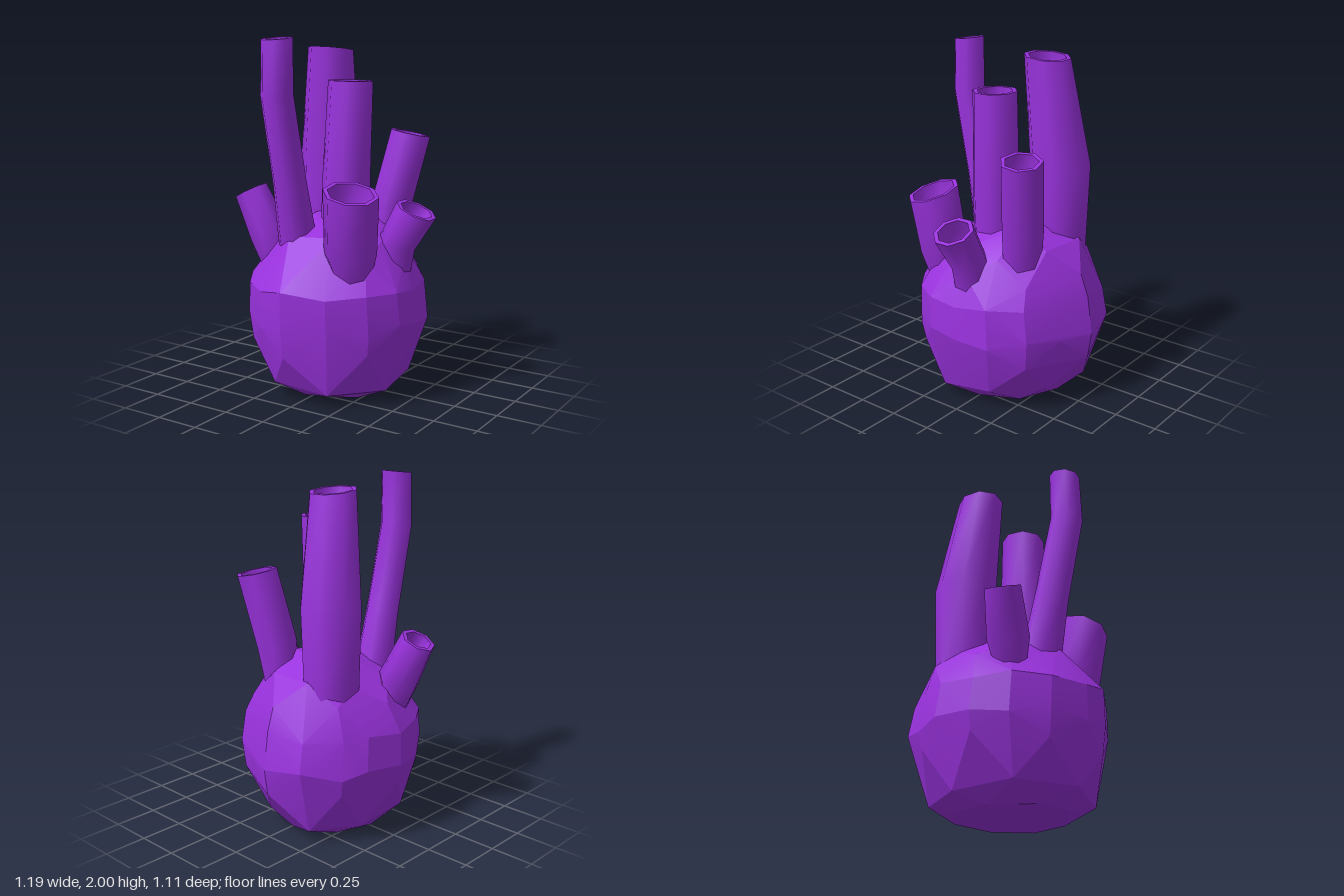
import * as THREE from 'three';
import { toCreasedNormals } from 'three/addons/utils/BufferGeometryUtils.js';
import { ConvexGeometry } from 'three/addons/geometries/ConvexGeometry.js';

const purple = new THREE.MeshStandardMaterial({ color: 0x9932dd });
const V = (a) => new THREE.Vector3(...a);

// Widest outline of the rock, as x and z
const OUTLINE = [
  [0.47, -0.2], [0.35, -0.38], [0.16, -0.47], [-0.03, -0.555],
  [-0.26, -0.51], [-0.42, -0.35], [-0.49, -0.22], [-0.54, 0],
  [-0.49, 0.2], [-0.37, 0.38], [-0.19, 0.51], [-0.03, 0.55],
  [0.22, 0.48], [0.4, 0.34], [0.5, 0.18], [0.5, 0],
];

// Rock levels: [height, outline scale, first corner, corner step, z shift, unevenness]
const BODY_RINGS = [
  [0.01, 0.6, 1, 2, 0, 0.005],
  [0.085, 0.81, 0, 2, 0.02, 0.02],
  [0.31, 0.96, 1, 2, 0, 0.03],
  [0.44, 1, 0, 1, 0, 0.025],
  [0.635, 0.97, 0, 1, 0.015, 0.015],
  [0.78, 0.83, 1, 2, -0.015, 0.03],
  [0.9, 0.67, 0, 2, -0.02, 0.025],
  [1.0, 0.34, 1, 3, -0.03, 0.015],
];

function makeBody() {
  const points = [new THREE.Vector3()];
  BODY_RINGS.forEach(([y, scale, first, step, shift, uneven], r) => {
    for (let i = first; i < OUTLINE.length; i += step) {
      const [x, z] = OUTLINE[i];
      points.push(new THREE.Vector3(
        x * scale, y + uneven * Math.sin(i * 2.4 + r * 1.7), z * scale + shift));
    }
  });
  return new THREE.Mesh(toCreasedNormals(new ConvexGeometry(points), 0.25), purple);
}

// Hollow tube: path runs from base to mouth, one radius per point,
// tilt is the x and z lean of the mouth
function makeTube({ path, radii, tilt, sides }) {
  const wall = 0.025;
  const pts = path.map(V);
  const last = pts.length - 1;
  const dirs = pts.map((p, i) => pts[Math.min(i + 1, last)].clone()
    .sub(pts[Math.max(i - 1, 0)]).normalize());
  dirs[last] = V([tilt[0], 1, tilt[1]]).normalize();

  // Cross-sections: outer wall upward, then mouth rim, then the hollow
  const sections = pts.map((p, i) => [p, dirs[i], radii[i]]);
  const mouth = pts[last];
  const down = pts[last - 1].clone().sub(mouth).normalize();
  const R = radii[last] - wall;
  for (const [depth, r] of [[0, R], [0.1, R * 0.95], [0.18, R * 0.75], [0.22, 0.001]]) {
    sections.push([mouth.clone().addScaledVector(down, depth), dirs[last], r]);
  }

  const position = [];
  const index = [];
  sections.forEach(([c, d, r], s) => {
    const w = new THREE.Vector3(1, 0, 0).cross(d).normalize();
    const u = d.clone().cross(w).normalize();
    for (let i = 0; i < sides; i++) {
      const a = ((i + 0.5) / sides) * Math.PI * 2;
      const p = c.clone().addScaledVector(u, r * Math.cos(a)).addScaledVector(w, r * Math.sin(a));
      position.push(p.x, p.y, p.z);
      if (s === 0) continue;
      const j = (i + 1) % sides;
      const lo = (s - 1) * sides;
      const hi = s * sides;
      index.push(lo + i, hi + i, lo + j, lo + j, hi + i, hi + j);
    }
  });
  const geo = new THREE.BufferGeometry();
  geo.setAttribute('position', new THREE.Float32BufferAttribute(position, 3));
  geo.setIndex(index);
  return new THREE.Mesh(toCreasedNormals(geo, 1), purple);
}

const TUBES = {
  tallBackTube: {
    path: [[-0.2, 0.78, -0.2], [-0.2, 1.32, -0.205], [-0.155, 1.935, -0.14]],
    radii: [0.16, 0.175, 0.133], tilt: [0.02, -0.1], sides: 8,
  },
  thinFrontTube: {
    path: [[-0.13, 0.8, 0.22], [-0.135, 1.2, 0.3], [-0.14, 1.69, 0.405], [-0.14, 1.99, 0.4]],
    radii: [0.115, 0.096, 0.092, 0.088], tilt: [0, 0.12], sides: 8,
  },
  centreTube: {
    path: [[0.06, 0.88, 0.04], [0.07, 1.2, 0.045], [0.09, 1.762, 0.033]],
    radii: [0.14, 0.137, 0.126], tilt: [0.02, 0], sides: 8,
  },
  backLeftTube: {
    path: [[0.17, 0.8, -0.21], [0.2, 1.05, -0.235], [0.288, 1.46, -0.295]],
    radii: [0.11, 0.12, 0.118], tilt: [0.18, -0.11], sides: 7,
  },
  wideFrontTube: {
    path: [[0.26, 0.68, 0.27], [0.25, 0.85, 0.285], [0.28, 1.185, 0.33]],
    radii: [0.09, 0.145, 0.152], tilt: [0.25, 0.2], sides: 8,
  },
  leftTube: {
    path: [[0.35, 0.66, 0], [0.375, 0.87, 0], [0.495, 1.07, 0]],
    radii: [0.09, 0.105, 0.116], tilt: [0.45, 0], sides: 8,
  },
  rightTube: {
    path: [[-0.35, 0.7, 0.15], [-0.39, 0.87, 0.15], [-0.507, 1.12, 0.17]],
    radii: [0.08, 0.118, 0.1], tilt: [-0.5, 0.08], sides: 7,
  },
};

export function createModel() {
  const model = new THREE.Group();
  model.name = 'tubeCoral';
  const body = makeBody();
  body.name = 'rockBody';
  model.add(body);
  for (const [name, spec] of Object.entries(TUBES)) {
    const tube = makeTube(spec);
    tube.name = name;
    model.add(tube);
  }
  return model;
}
